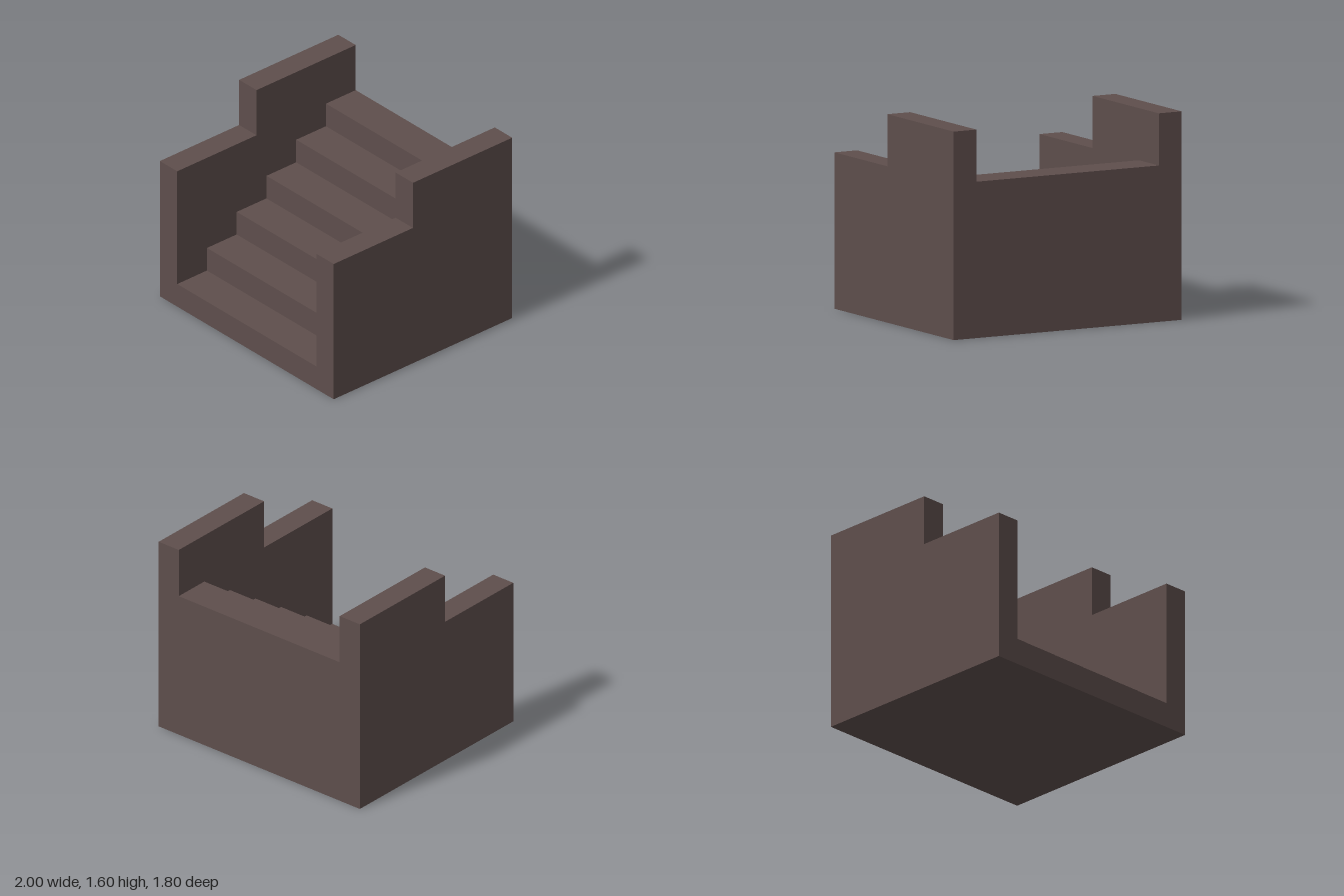
import * as THREE from 'three';

const WIDTH = 2, WALL = 0.2, FRONT = 0.9, BACK = -0.9;
const STEPS = 6, RISE = 0.2, TREAD = 0.3;

// Extrudes a side profile of [z, y] points across the width, centred on x = 0
function extrudeAcross(profile, width) {
  const shape = new THREE.Shape(profile.map(([z, y]) => new THREE.Vector2(z, y)));
  const geometry = new THREE.ExtrudeGeometry(shape, { depth: width, bevelEnabled: false });
  geometry.translate(0, 0, -width / 2);
  geometry.rotateY(-Math.PI / 2);
  return geometry;
}

export function createModel() {
  const model = new THREE.Group();
  model.name = 'staircase';
  const stone = new THREE.MeshStandardMaterial({ color: 0x5e4e4c });
  stone.name = 'dark brown stone';

  // Solid flight of steps, rising towards the back
  const stairProfile = [[BACK, 0], [FRONT, 0]];
  for (let i = 0; i < STEPS; i++) {
    const y = (i + 1) * RISE;
    stairProfile.push([FRONT - i * TREAD, y], [FRONT - (i + 1) * TREAD, y]);
  }
  const steps = new THREE.Mesh(extrudeAcross(stairProfile, WIDTH - 2 * WALL), stone);
  steps.name = 'steps';
  model.add(steps);

  // Side walls, low in front and high behind
  const wallProfile = [[BACK, 0], [FRONT, 0], [FRONT, 1.2], [0.1, 1.2], [0.1, 1.6], [BACK, 1.6]];
  const wallGeometry = extrudeAcross(wallProfile, WALL);
  for (const side of [-1, 1]) {
    const wall = new THREE.Mesh(wallGeometry, stone);
    wall.name = side > 0 ? 'leftWall' : 'rightWall';
    wall.position.x = side * (WIDTH - WALL) / 2;
    model.add(wall);
  }
  return model;
}
